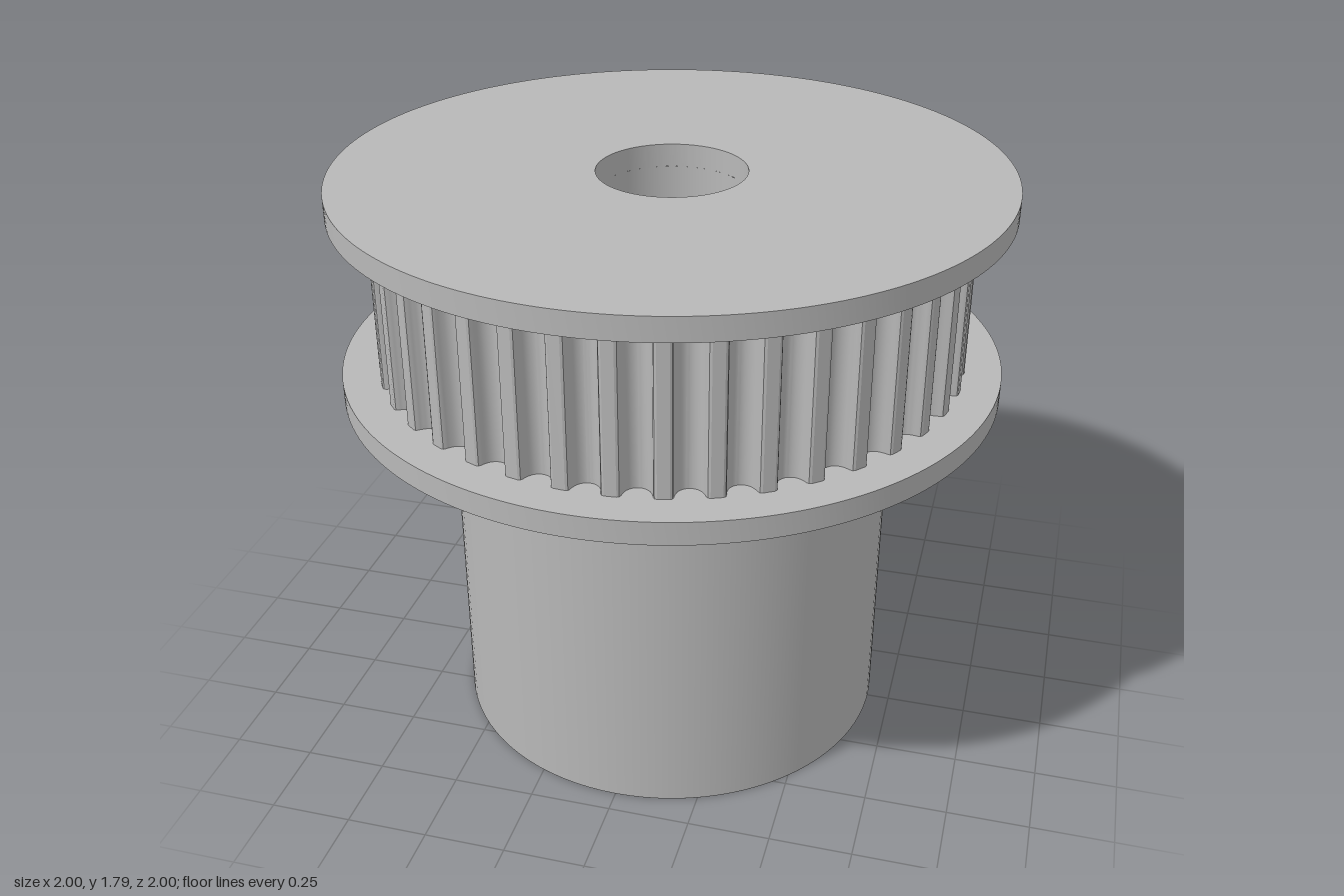
import * as THREE from 'three';
import { toCreasedNormals } from 'three/addons/utils/BufferGeometryUtils.js';
import { ParametricGeometry } from 'three/addons/geometries/ParametricGeometry.js';

const HUB_R = 0.68, BORE_R = 0.223, FLANGE_R = 1, TOOTH_R = 0.89, TEETH = 40;
const Y_HUB = 1.145, Y_BELT = 1.215, Y_TOP = 1.72, Y_END = 1.79;
const HOLE_R = 0.118, HOLE_Y = 0.33;                 // radial screw hole at the back
const SLOT_W = 0.2, SLOT_IN = -0.29, SLOT_OUT = -0.47; // nut slot, open at the bottom

const circle = (r, y = 0) => new THREE.Path().absarc(0, y, r, 0, Math.PI * 2, true);

// Upright extrusion of a plan shape, from y0 to y1
function slab(shape, y0, y1) {
  const g = new THREE.ExtrudeGeometry(shape, { depth: y1 - y0, bevelEnabled: false, curveSegments: 96 });
  g.rotateX(-Math.PI / 2).translate(0, y0, 0);
  return toCreasedNormals(g, 0.4);
}

function disc(r, hole, y0, y1) {
  const s = new THREE.Shape().absarc(0, 0, r, 0, Math.PI * 2, false);
  s.holes.push(circle(hole));
  return slab(s, y0, y1);
}

// Toothed ring: rounded grooves cut into the rim
function toothedRing() {
  const half = [[0.053, 0], [0.046, 0.003], [0.0427, 0.0093], [0.0413, 0.017], [0.039, 0.0245],
    [0.036, 0.0317], [0.0323, 0.0385], [0.0256, 0.0455], [0.0177, 0.0505], [0.0091, 0.0536]];
  const groove = [...half.map(([w, d]) => [-w, d]), [0, 0.0546], ...half.slice().reverse()];
  const pts = [];
  for (let i = 0; i < TEETH; i++) {
    const a = -Math.PI / 2 + (i / TEETH) * Math.PI * 2;
    for (const [w, d] of groove) {
      const b = a + w / TOOTH_R, r = TOOTH_R - d;
      pts.push(new THREE.Vector2(r * Math.cos(b), r * Math.sin(b)));
    }
  }
  const s = new THREE.Shape(pts);
  s.holes.push(circle(0.5));
  return slab(s, Y_BELT, Y_TOP);
}

// Piece of a cylinder wall around the screw hole, spanning angle +-a at the back
function holedPatch(R, a, height) {
  return new ParametricGeometry((u, v, p) => {
    const k = Math.min(3, Math.floor(u * 4)), f = (u * 4 - k) * 2 - 1;
    const [sx, sy] = [[1, f], [-f, 1], [-1, -f], [f, -1]][k];
    const t = -Math.PI / 4 + u * Math.PI * 2;
    const ang = THREE.MathUtils.lerp(Math.asin(HOLE_R * Math.cos(t) / R), sx * a, v);
    const y = THREE.MathUtils.lerp(HOLE_Y + HOLE_R * Math.sin(t), (sy + 1) / 2 * height, v);
    p.set(R * Math.sin(ang), y, -R * Math.cos(ang));
  }, 64, 10);
}

// Screw hole wall between two depths, each a function of x
function holeWall(zA, zB) {
  return new ParametricGeometry((u, v, p) => {
    const t = u * Math.PI * 2, x = HOLE_R * Math.cos(t);
    p.set(x, HOLE_Y + HOLE_R * Math.sin(t), THREE.MathUtils.lerp(zA(x), zB(x), v));
  }, 48, 1);
}

export function createModel() {
  const model = new THREE.Group();
  const grey = new THREE.MeshStandardMaterial({ color: 0xb8b8b8, side: THREE.DoubleSide });
  grey.name = 'grey';
  const add = (name, geometry, parent = model) => {
    const m = new THREE.Mesh(geometry, grey);
    m.name = name;
    parent.add(m);
    return m;
  };
  const group = (name) => {
    const g = new THREE.Group();
    g.name = name;
    model.add(g);
    return g;
  };

  // Flanges and toothed rim
  add('lowerFlange', disc(FLANGE_R, 0.5, Y_HUB, Y_BELT));
  add('toothedRim', toothedRing());
  add('upperFlange', disc(FLANGE_R, BORE_R, Y_TOP, Y_END));

  // Hub wall and bore wall, each with the screw hole through the back
  for (const [name, R, a, h] of [['hub', HUB_R, 0.45, Y_HUB], ['bore', BORE_R, 1, Y_TOP]]) {
    const g = group(name);
    const wall = new THREE.CylinderGeometry(R, R, h, 80, 1, true, Math.PI + a, Math.PI * 2 - 2 * a);
    add(name + 'Wall', wall.translate(0, h / 2, 0), g);
    add(name + 'HoleSurround', holedPatch(R, a, h), g);
  }

  // Underside of the hub with bore and slot openings
  const under = new THREE.Shape().absarc(0, 0, HUB_R, 0, Math.PI * 2, false);
  under.holes.push(circle(BORE_R));
  under.holes.push(new THREE.Path([[-SLOT_W, SLOT_OUT], [-SLOT_W, SLOT_IN], [SLOT_W, SLOT_IN], [SLOT_W, SLOT_OUT]]
    .map(([x, z]) => new THREE.Vector2(x, z))));
  add('hubUnderside', new THREE.ShapeGeometry(under, 96).rotateX(Math.PI / 2));

  // Screw hole, interrupted by the nut slot
  const screw = group('screwHole');
  const onCylinder = (R) => (x) => -Math.sqrt(R * R - x * x);
  add('outerHole', holeWall(onCylinder(HUB_R), () => SLOT_OUT), screw);
  add('innerHole', holeWall(() => SLOT_IN, onCylinder(BORE_R)), screw);

  // Nut slot with a pointed top
  const slot = group('nutSlot');
  const outline = [[SLOT_W, 0], [SLOT_W, 0.445], [0, 0.56], [-SLOT_W, 0.445], [-SLOT_W, 0]]
    .map(([x, y]) => new THREE.Vector2(x, y));
  const face = new THREE.Shape(outline);
  face.holes.push(circle(HOLE_R, HOLE_Y));
  for (const z of [SLOT_IN, SLOT_OUT]) {
    add('slotFace', new THREE.ShapeGeometry(face, 48).translate(0, 0, z), slot);
  }
  for (let i = 0; i < 4; i++) {
    const p = outline[i], q = outline[i + 1];
    const side = new THREE.PlaneGeometry(p.distanceTo(q), SLOT_IN - SLOT_OUT).rotateX(Math.PI / 2);
    side.rotateZ(Math.atan2(q.y - p.y, q.x - p.x));
    add('slotSide', side.translate((p.x + q.x) / 2, (p.y + q.y) / 2, (SLOT_IN + SLOT_OUT) / 2), slot);
  }
  return model;
}
